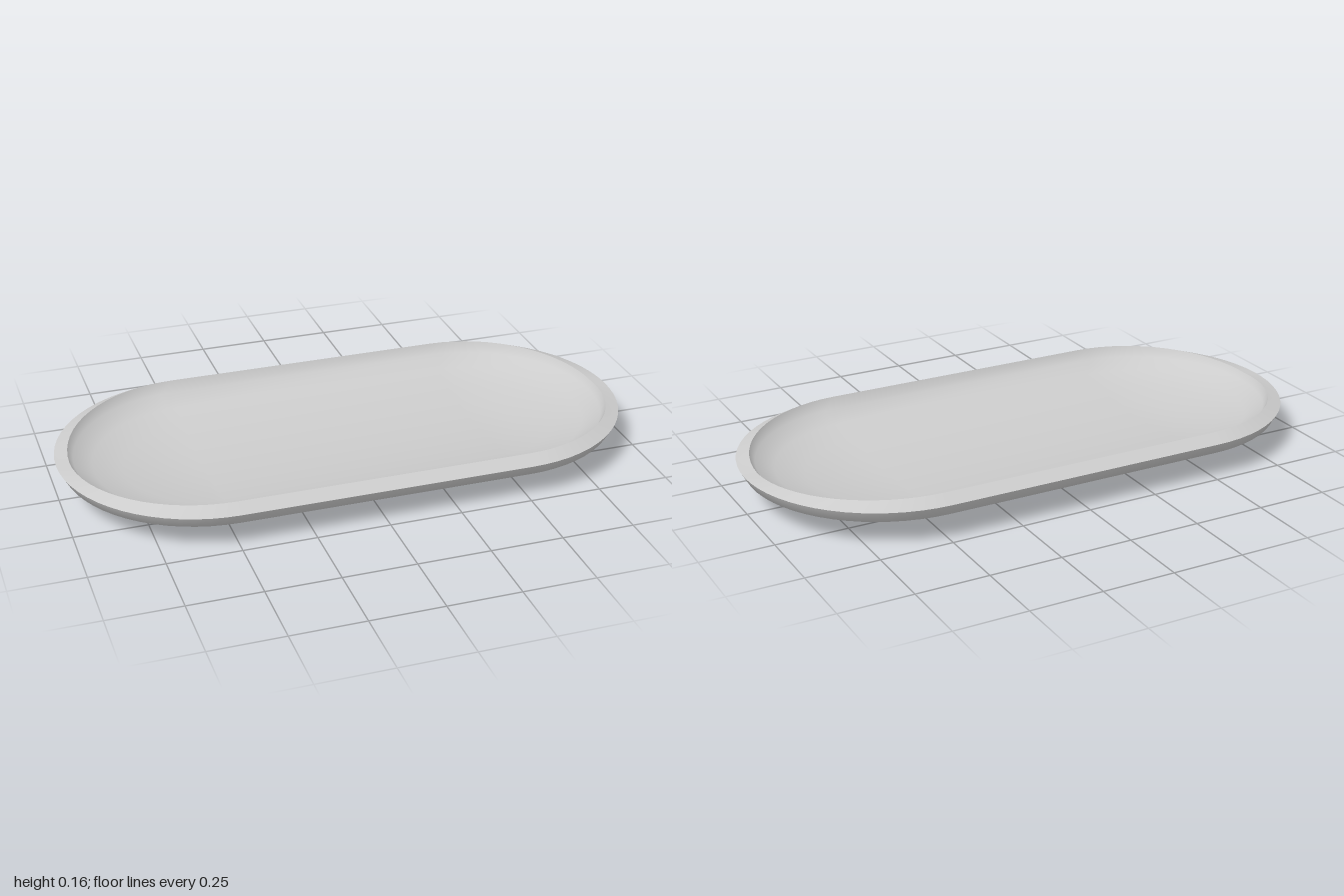
import * as THREE from 'three';
import { mergeVertices } from 'three/addons/utils/BufferGeometryUtils.js';

const HALF_STRAIGHT = 0.5; // half length of the straight sides
const ARC = 32; // segments per rounded end

// Each ring is [radius, height, extra height on the long sides].
// Rings run so that the visible face is on the outside of the sweep.
function stadiumSurface(rings) {
  const positions = [];
  const index = [];
  const count = 2 * (ARC + 1);
  for (const [r, y, lift = 0] of rings) {
    for (let end = 0; end < 2; end++) {
      for (let i = 0; i <= ARC; i++) {
        const a = -Math.PI / 2 + Math.PI * (i / ARC + end);
        const cx = end === 0 ? HALF_STRAIGHT : -HALF_STRAIGHT;
        positions.push(cx + r * Math.cos(a), y + lift * Math.abs(Math.sin(a)), r * Math.sin(a));
      }
    }
  }
  for (let k = 0; k < rings.length - 1; k++) {
    for (let i = 0; i < count; i++) {
      const j = (i + 1) % count;
      const a = k * count + i, b = k * count + j;
      const c = a + count, d = b + count;
      index.push(a, c, b, b, c, d);
    }
  }
  const geometry = new THREE.BufferGeometry();
  geometry.setAttribute('position', new THREE.Float32BufferAttribute(positions, 3));
  geometry.setIndex(index);
  const merged = mergeVertices(geometry, 1e-5);
  merged.computeVertexNormals();
  return merged;
}

export function createModel() {
  const model = new THREE.Group();
  model.name = 'tray';
  const material = new THREE.MeshStandardMaterial({ color: 0xcccccc, side: THREE.DoubleSide });

  const parts = {
    // rounded outer bowl, from the keel up to the outer edge
    underside: [[0, 0], [0.15, 0.009], [0.295, 0.027], [0.4, 0.055], [0.478, 0.09], [0.5, 0.13]],
    // sloping lip, higher along the long sides than at the ends
    rim: [[0.5, 0.13], [0.455, 0.135, 0.021]],
    // shallow concave inside, from the lip down to the middle
    basin: [[0.455, 0.135, 0.021], [0.438, 0.113, 0.004], [0.375, 0.084], [0.275, 0.06], [0.14, 0.044], [0, 0.038]],
  };
  for (const [name, rings] of Object.entries(parts)) {
    const mesh = new THREE.Mesh(stadiumSurface(rings), material);
    mesh.name = name;
    model.add(mesh);
  }
  return model;
}
